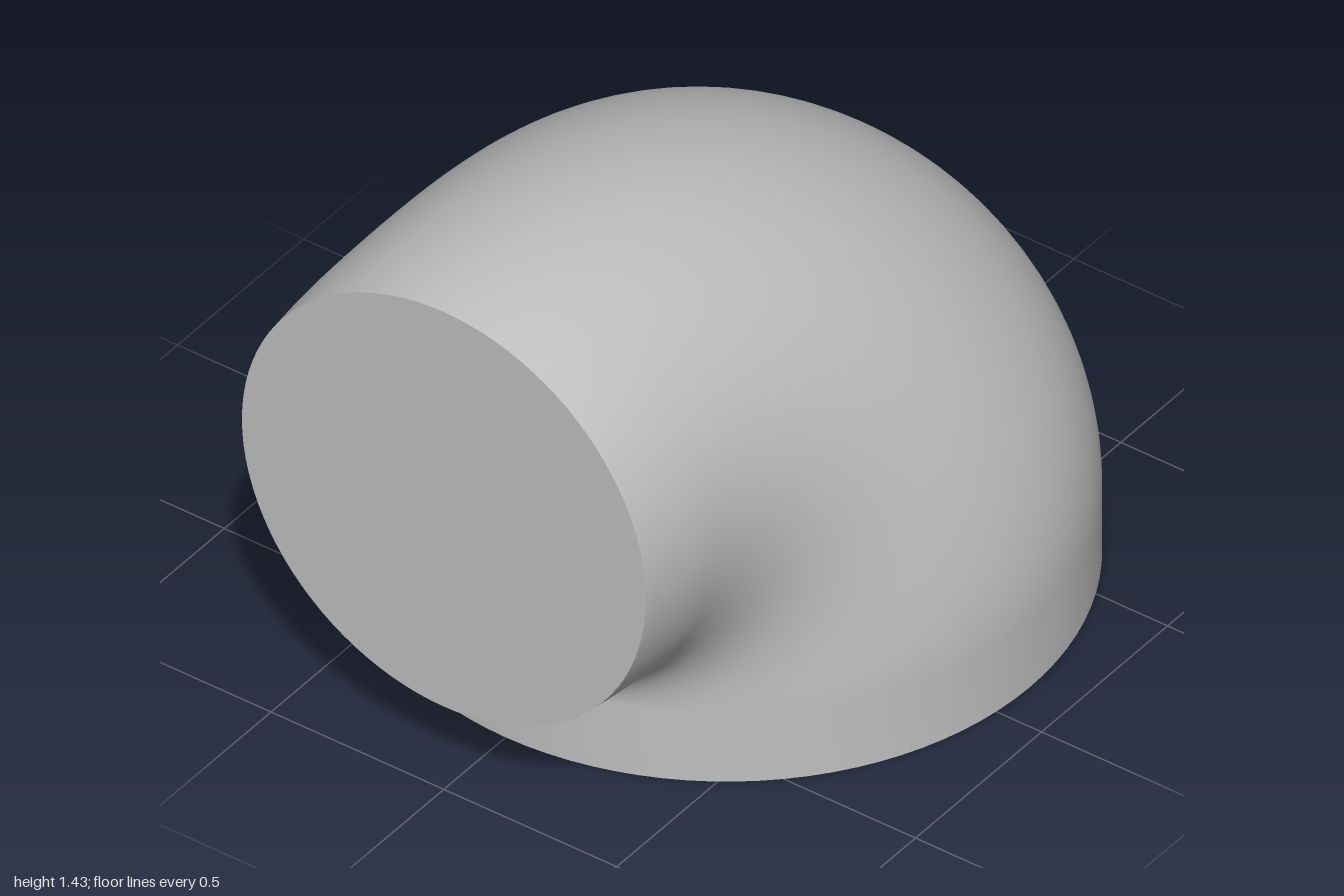
import * as THREE from 'three';

const SIDES = 96;
const BEND_STEPS = 48;
const SPOUT_STEPS = 8;

// Outer (back and top) edge of the elbow: one long ellipse in the z-y plane
const outerEdge = (a) => [0.72 - 1.72 * Math.cos(a), 0.2 + 1.23 * Math.sin(a)];
// Inner edge at the throat: a tight fillet
const innerEdge = (a) => [0.79 - 0.035 * Math.cos(a), 0.2 + 0.025 * Math.sin(a)];

// Each section is a circle whose diameter joins the inner and outer edges
function buildSections() {
  const sections = [];
  const add = (inner, outer) => sections.push({ inner, outer });

  // Straight collar
  for (const y of [0, 0.1]) add([0.755, y], [-1, y]);

  // Tapering bend
  for (let i = 0; i <= BEND_STEPS; i++) {
    const a = (i / BEND_STEPS) * Math.PI / 2;
    add(innerEdge(a), outerEdge(a));
  }

  // Short spout
  const endAngle = Math.PI - Math.acos(0.28 / 1.72);
  for (let i = 1; i <= SPOUT_STEPS; i++) {
    const t = i / SPOUT_STEPS;
    const a = THREE.MathUtils.lerp(Math.PI / 2, endAngle, t);
    add([0.79 + 0.21 * t, 0.225 + 0.02 * t], outerEdge(a));
  }
  return sections;
}

function loft(sections) {
  const positions = [];
  const indices = [];
  sections.forEach(({ inner, outer }, i) => {
    const hz = (outer[0] - inner[0]) / 2;
    const hy = (outer[1] - inner[1]) / 2;
    const radius = Math.hypot(hz, hy);
    for (let j = 0; j < SIDES; j++) {
      const phi = (j / SIDES) * Math.PI * 2;
      const s = Math.sin(phi);
      positions.push(radius * Math.cos(phi), inner[1] + hy + hy * s, inner[0] + hz + hz * s);
      if (i === sections.length - 1) continue;
      const a = i * SIDES + j;
      const b = i * SIDES + (j + 1) % SIDES;
      indices.push(a, b, a + SIDES, b, b + SIDES, a + SIDES);
    }
  });
  const geometry = new THREE.BufferGeometry();
  geometry.setAttribute('position', new THREE.Float32BufferAttribute(positions, 3));
  geometry.setIndex(indices);
  geometry.computeVertexNormals();
  return geometry;
}

export function createModel() {
  const group = new THREE.Group();
  group.name = 'reducingElbow';
  const grey = new THREE.MeshStandardMaterial({ color: 0xc0c0c0 });
  grey.name = 'grey';

  const addMesh = (name, geometry) => {
    const mesh = new THREE.Mesh(geometry, grey);
    mesh.name = name;
    group.add(mesh);
    return mesh;
  };

  const sections = buildSections();
  addMesh('elbowBody', loft(sections));

  // Flat end faces
  const base = addMesh('baseFace', new THREE.CircleGeometry(0.8775, SIDES).rotateX(Math.PI / 2));
  base.position.z = -0.1225;

  const { inner, outer } = sections[sections.length - 1];
  const spout = addMesh('spoutFace', new THREE.CircleGeometry((outer[1] - inner[1]) / 2, SIDES));
  spout.position.set(0, (outer[1] + inner[1]) / 2, 1);

  return group;
}
